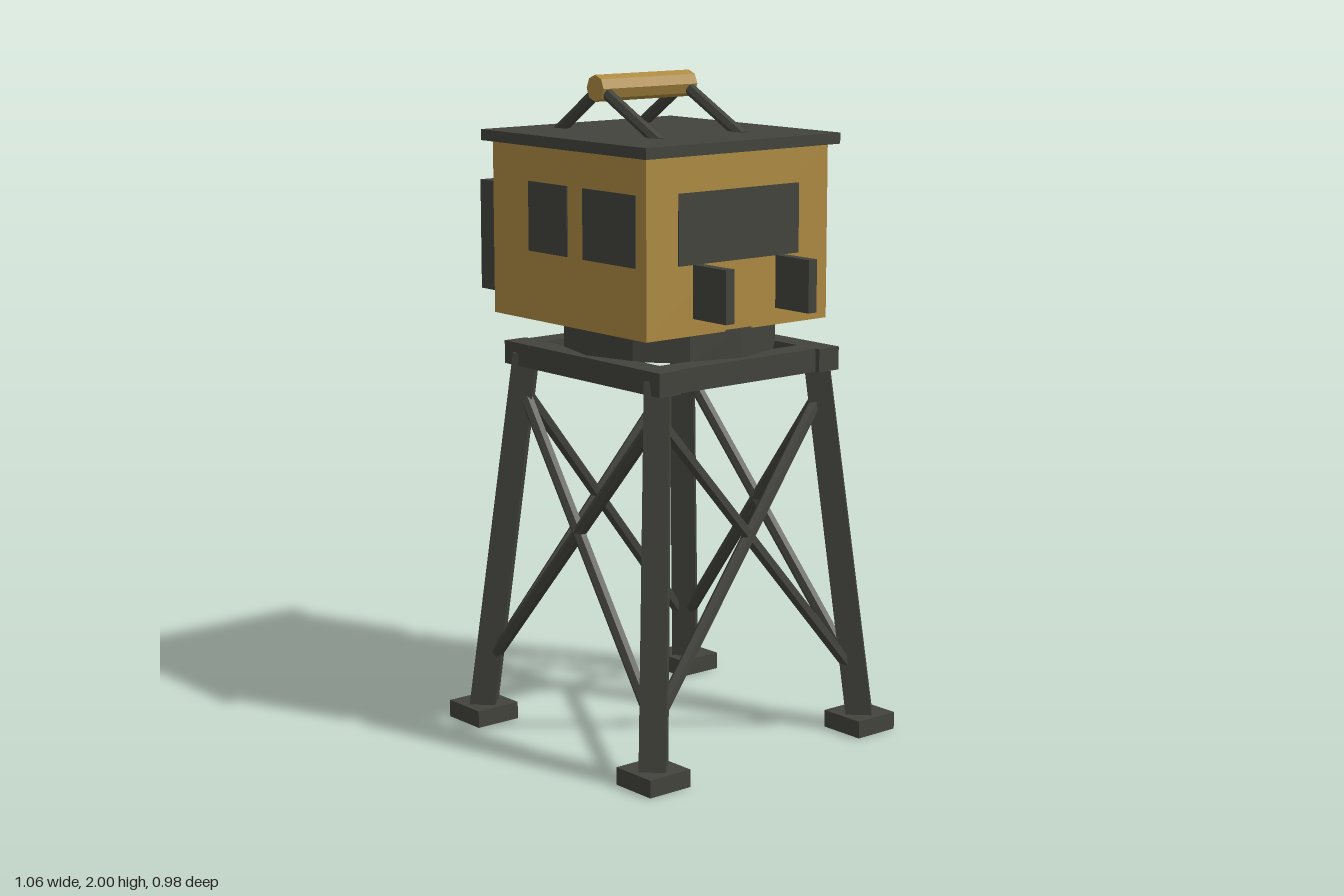
import * as THREE from 'three';

const dark = new THREE.MeshStandardMaterial({ color: 0x42433c, flatShading: true });
dark.name = 'dark steel';
const ochre = new THREE.MeshStandardMaterial({ color: 0xae8a42, flatShading: true });
ochre.name = 'ochre paint';

const CX = 0.0375; // tower axis in x

export function createModel() {
  const model = new THREE.Group();
  model.name = 'watchtower';

  // box given by its lower and upper corners
  const box = (name, mat, [x0, y0, z0], [x1, y1, z1]) => {
    const m = new THREE.Mesh(new THREE.BoxGeometry(x1 - x0, y1 - y0, z1 - z0), mat);
    m.position.set((x0 + x1) / 2, (y0 + y1) / 2, (z0 + z1) / 2);
    m.name = name;
    model.add(m);
    return m;
  };

  // straight bar between two points
  const bar = (name, a, b, rBottom, rTop, sides) => {
    const d = b.clone().sub(a);
    const m = new THREE.Mesh(new THREE.CylinderGeometry(rTop, rBottom, d.length(), sides), dark);
    m.position.copy(a).add(b).multiplyScalar(0.5);
    m.quaternion.setFromUnitVectors(new THREE.Vector3(0, 1, 0), d.normalize());
    m.name = name;
    model.add(m);
  };

  // point on the axis of a leg, t = 0 at the foot and 1 at the top
  const legPoint = ([sx, sz], t) => {
    const o = THREE.MathUtils.lerp(0.413, 0.31, t);
    return new THREE.Vector3(CX + sx * o, THREE.MathUtils.lerp(0.04, 1.16, t), sz * o);
  };

  // legs, feet and cross braces
  const corners = [[-1, 1], [1, 1], [1, -1], [-1, -1]];
  corners.forEach((c, i) => {
    const foot = legPoint(c, 0);
    box('foot', dark, [foot.x - 0.076, 0, foot.z - 0.063 - 0.012], [foot.x + 0.076, 0.053, foot.z + 0.063 + 0.012]);
    bar('leg', foot, legPoint(c, 1), 0.056, 0.052, 4);
    const next = corners[(i + 1) % 4];
    bar('brace', legPoint(c, 0.12), legPoint(next, 0.905), 0.02, 0.02, 6);
    bar('brace', legPoint(next, 0.12), legPoint(c, 0.905), 0.02, 0.02, 6);
  });

  // platform ring
  for (const s of [-1, 1]) {
    const z = s * 0.31, x = CX + s * 0.31;
    box('platformBeam', dark, [CX - 0.366, 1.124, z - 0.04], [CX + 0.366, 1.194, z + 0.04]);
    box('platformCrossBeam', dark, [x - 0.04, 1.124, -0.27], [x + 0.04, 1.194, 0.27]);
  }

  // turntable
  const table = new THREE.Mesh(new THREE.CylinderGeometry(0.323, 0.323, 0.09, 12), dark);
  table.position.set(CX - 0.002, 1.235, 0);
  table.name = 'turntable';
  model.add(table);

  // cabin, roof and side box
  box('cabin', ochre, [-0.376, 1.275, -0.35], [0.345, 1.8, 0.35]);
  box('roof', dark, [-0.403, 1.797, -0.374], [0.373, 1.83, 0.374]);
  box('sideBox', dark, [-0.533, 1.325, -0.284], [-0.37, 1.662, 0.284]);

  // windows
  box('frontWindow', dark, [-0.198, 1.482, 0.348], [-0.013, 1.69, 0.354]);
  box('frontWindow', dark, [0.06, 1.482, 0.348], [0.3, 1.69, 0.354]);
  box('sideWindow', dark, [0.343, 1.482, -0.232], [0.349, 1.69, 0.232]);

  for (const s of [-1, 1]) {
    const z = s * 0.16;
    // plates standing out under the side window
    box('sidePlate', dark, [0.34, 1.325, z - 0.016], [0.488, 1.482, z + 0.016]);
    // struts holding the roof roller
    const top = new THREE.Vector3(-0.093, 1.96, z);
    bar('rollerStrut', new THREE.Vector3(-0.302, 1.818, z), top, 0.018, 0.018, 6);
    bar('rollerStrut', new THREE.Vector3(0.178, 1.818, z), top, 0.018, 0.018, 6);
  }

  // roof roller
  const roller = new THREE.Mesh(new THREE.CylinderGeometry(0.04, 0.04, 0.364, 8), ochre);
  roller.rotation.x = Math.PI / 2;
  roller.position.set(-0.093, 1.96, 0);
  roller.name = 'roller';
  model.add(roller);

  return model;
}
